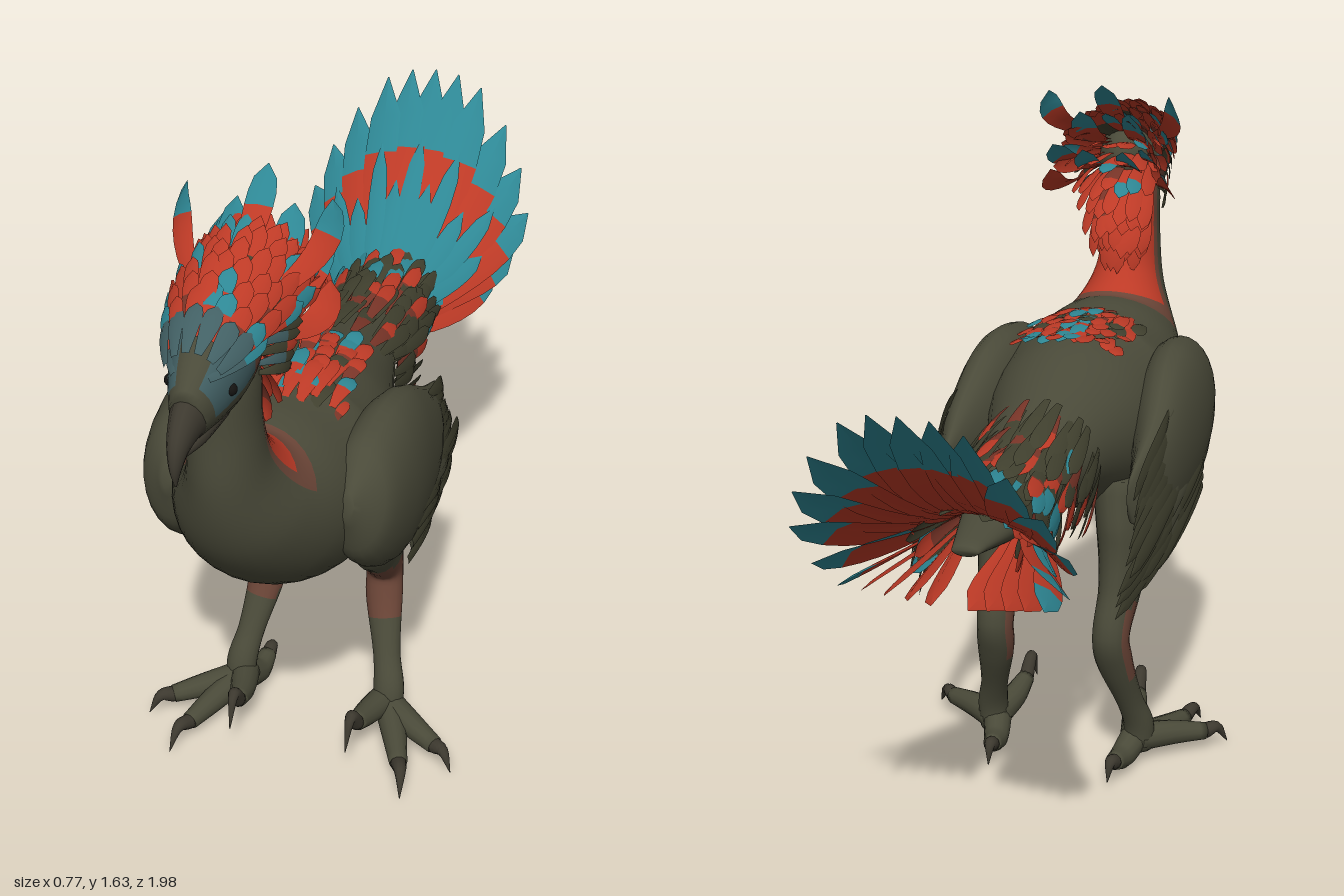
import * as THREE from 'three';

const V = (x, y, z) => new THREE.Vector3(x, y, z);
const paint = (name, color, side = THREE.FrontSide) => {
  const m = new THREE.MeshStandardMaterial({ color, side });
  m.name = name;
  return m;
};

export function createModel() {
  const model = new THREE.Group();
  model.name = 'crestedBird';
  const olive = paint('olive', 0x4a4a39), red = paint('red', 0xbd3a26, THREE.DoubleSide);
  const teal = paint('teal', 0x2e8794, THREE.DoubleSide), dark = paint('darkFeather', 0x41412f, THREE.DoubleSide);
  const slate = paint('faceSlate', 0x426064, THREE.DoubleSide), rust = paint('rustSkin', 0x6b4537);
  const horn = paint('horn', 0x3d392f), black = paint('eyeBlack', 0x141311);
  const maroon = paint('maroon', 0x7a3528, THREE.DoubleSide);

  let seed = 7;
  const rnd = () => (seed = (seed * 16807) % 2147483647) / 2147483647;
  const jit = a => (rnd() - 0.5) * 2 * a;

  const part = (name, parent = model) => {
    const g = new THREE.Group();
    g.name = name;
    parent.add(g);
    return g;
  };

  // Assembles indexed faces, grouped by material
  function build(name, pos, faces, mats, parent) {
    const index = [], geo = new THREE.BufferGeometry();
    mats.forEach((m, k) => {
      const own = faces.filter(f => f[0] === k);
      geo.addGroup(index.length, own.length * 3, k);
      own.forEach(f => index.push(f[1], f[2], f[3]));
    });
    geo.setAttribute('position', new THREE.Float32BufferAttribute(pos, 3));
    geo.setIndex(index);
    geo.computeVertexNormals();
    const mesh = new THREE.Mesh(geo, mats);
    mesh.name = name;
    parent.add(mesh);
  }

  // Smooth skin through stations [x, y, z, halfWidth, halfHeight]
  function loft(name, st, mats, parent = model, pick = () => 0, seg = 20, per = 5) {
    const path = new THREE.CatmullRomCurve3(st.map(s => V(s[0], s[1], s[2])));
    const size = new THREE.CatmullRomCurve3(st.map(s => V(s[3], s[4], 0)), false, 'catmullrom', 0.5);
    const rows = (st.length - 1) * per, pos = [], faces = [];
    for (let i = 0; i <= rows; i++) {
      const t = i / rows, c = path.getPoint(t), T = path.getTangent(t), r = size.getPoint(t);
      const S = V(1, 0, 0).addScaledVector(T, -T.x).normalize(), U = T.clone().cross(S);
      for (let j = 0; j < seg; j++) {
        const a = j / seg * Math.PI * 2;
        const p = c.clone().addScaledVector(S, Math.cos(a) * r.x).addScaledVector(U, Math.sin(a) * r.y);
        pos.push(p.x, p.y, p.z);
        if (i === rows) continue;
        const n = (j + 1) % seg, m = pick(t, Math.sin(a + Math.PI / seg), p), q = i * seg;
        faces.push([m, q + j, q + n, q + seg + n], [m, q + j, q + seg + n, q + seg + j]);
      }
    }
    for (let j = 1; j < seg - 1; j++) {
      const e = rows * seg;
      faces.push([0, 0, j + 1, j], [0, e, e + j, e + j + 1]);
    }
    build(name, pos, faces, mats, parent);
  }

  // Curved, slightly ridged feather plate; the tip colour starts at fraction "split"
  const profile = [0.4, 0.52, 0.64, 0.75, 0.85, 0.94, 1, 0.98, 0.8, 0.03];
  function feather(parent, a, ctrl, b, facing, width, base, tip = base, split = 0.7) {
    const curve = new THREE.QuadraticBezierCurve3(a, ctrl, b), n = profile.length - 1, pos = [], faces = [];
    for (let i = 0; i <= n; i++) {
      const t = i / n, c = curve.getPoint(t), T = curve.getTangent(t);
      const S = T.clone().cross(facing).normalize(), N = S.clone().cross(T), w = profile[i] * width / 2;
      for (const k of [-1, 0, 1]) {
        const p = c.clone().addScaledVector(S, k * w).addScaledVector(N, k ? 0 : w * 0.2);
        pos.push(p.x, p.y, p.z);
      }
      if (i < n) for (const k of [0, 1]) {
        const q = i * 3 + k, m = (i + 0.5) / n > split ? 1 : 0;
        faces.push([m, q, q + 1, q + 4], [m, q, q + 4, q + 3]);
      }
    }
    build('feather', pos, faces, [base, tip], parent);
  }

  // Body, tail root and neck in one skin; red stripe down the nape, rust where it fades
  loft('bodyAndNeck', [
    [0, 0.86, -0.62, 0.03, 0.012], [0, 0.855, -0.42, 0.075, 0.05], [0, 0.865, -0.25, 0.1, 0.085],
    [0, 0.875, -0.05, 0.145, 0.135], [0, 0.87, 0.15, 0.205, 0.205], [0, 0.86, 0.33, 0.235, 0.24],
    [0, 0.915, 0.5, 0.2, 0.2], [0, 0.99, 0.62, 0.145, 0.145], [0, 1.1, 0.685, 0.09, 0.108],
    [0, 1.22, 0.705, 0.074, 0.085], [0, 1.32, 0.705, 0.072, 0.085], [0, 1.4, 0.71, 0.06, 0.07]],
  [olive, red, rust], model,
  (t, s) => (t < 0.62 || t > 0.98 ? 0 : s > 0.3 && t > 0.66 ? 1 : s > 0.1 ? 2 : 0), 32, 6);

  // Head with slate cheeks, hooked beak and eyes
  const head = part('head');
  loft('skull', [
    [0, 1.4, 0.58, 0.02, 0.03], [0, 1.41, 0.62, 0.062, 0.08], [0, 1.405, 0.7, 0.08, 0.105],
    [0, 1.385, 0.78, 0.077, 0.108], [0, 1.365, 0.85, 0.06, 0.085], [0, 1.345, 0.91, 0.036, 0.058]],
  [olive, slate, rust], head,
  (t, s) => (t < 0.3 ? 0 : t < 0.5 && s < 0.1 && s > -0.85 ? 2 : t < 0.9 && s > -0.35 && s < 0.9 ? 1 : 0), 24);
  loft('upperBeak', [[0, 1.35, 0.86, 0.046, 0.062], [0, 1.338, 0.925, 0.032, 0.046], [0, 1.315, 0.963, 0.022, 0.03],
    [0, 1.278, 0.982, 0.012, 0.016], [0, 1.24, 0.984, 0.002, 0.003]], [horn], head, undefined, 14);
  loft('lowerBeak', [[0, 1.305, 0.8, 0.046, 0.028], [0, 1.294, 0.89, 0.03, 0.022], [0, 1.288, 0.955, 0.008, 0.008]],
    [horn], head, undefined, 12);
  for (const s of [-1, 1]) {
    const eye = new THREE.Mesh(new THREE.SphereGeometry(0.013, 14, 10), black);
    eye.name = 'eye';
    eye.position.set(s * 0.06, 1.375, 0.835);
    head.add(eye);
    feather(head, V(s * 0.035, 1.42, 0.885), V(s * 0.075, 1.425, 0.82), V(s * 0.09, 1.415, 0.7), V(s, 0.8, 0), 0.032, slate, teal, 0.5);
    // Dark and rust whisker feathers behind the cheek
    for (let i = 0; i < 6; i++) {
      const y = 1.46 - i * 0.025;
      feather(head, V(s * 0.07, y, 0.74 - i * 0.008), V(s * 0.11, y, 0.67), V(s * (0.135 - i * 0.006), y - 0.03, 0.6),
        V(s, 0.2, 0.4), 0.026, i % 2 ? dark : slate, i % 3 ? dark : red);
    }
  }

  // Crown: rows of overlapping feathers rising toward the back
  const crest = part('crest');
  for (let r = 0; r < 8; r++) {
    const k = r / 7, n = 6 + r, span = 0.9 + k * 0.6;
    for (let i = 0; i < n; i++) {
      const th = (i / (n - 1) * 2 - 1) * span + jit(0.06), out = V(Math.sin(th), Math.cos(th), 0);
      const R = 0.064 + 0.022 * Math.sin(k * Math.PI), L = 0.085 + k * 0.08 + jit(0.02);
      const a = V(out.x * R, 1.385 + k * 0.02 + out.y * R * 1.25, 0.875 - k * 0.25), q = rnd();
      const c = a.clone().addScaledVector(out, 0.03).add(V(0, 0, -L * 0.5));
      const b = a.clone().addScaledVector(out, 0.045 + k * 0.025).add(V(0, 0.01, -L));
      const root = r < 1 ? slate : q < 0.15 ? dark : q < 0.3 ? maroon : red;
      feather(crest, a, c, b, out, 0.038, root, r < 1 ? slate : q > 0.82 ? teal : red, 0.6);
    }
  }
  // Long crest plumes
  const plumes = [[0, 1.64, 0.41], [0.15, 1.61, 0.47], [0.06, 1.57, 0.43], [0.11, 1.5, 0.37], [0.14, 1.42, 0.45], [0.05, 1.48, 0.42]];
  for (const [x, y, z] of plumes) for (const s of x ? [-1, 1] : [1]) {
    feather(crest, V(s * x * 0.45, 1.43 + (y - 1.5) * 0.4, 0.66), V(s * x * 1.15, y - 0.1, 0.5), V(s * x, y, z),
      V(s * x * 5, 1, 0.2), 0.06, red, y < 1.45 ? red : teal, 0.62);
  }
  // Mane: feathers fanning from straight back to straight down behind the nape
  for (let r = 0; r < 7; r++) for (let i = -3; i <= 3; i++) {
    const k = r / 6, ang = 0.25 - k * 1.55 + jit(0.1), L = 0.18 + jit(0.02), x = i * (0.02 - k * 0.005);
    const a = V(x, 1.45 - k * 0.13, 0.64 + Math.abs(i) * 0.012);
    const b = a.clone().add(V(x * (1 - k * 0.9), Math.sin(ang) * L, -Math.cos(ang) * L - 0.02));
    const c = a.clone().lerp(b, 0.5).add(V(x * 0.3, 0.015, -0.025)), q = rnd();
    feather(crest, a, c, b, V(x * 14, Math.cos(ang), Math.sin(ang)), 0.04, q < 0.2 ? maroon : red, q > 0.93 && k < 0.5 ? teal : red, 0.65);
  }

  // Saddle feathers along the upper back
  const saddle = part('saddleFeathers');
  for (let r = 0; r < 11; r++) for (let i = -3; i <= 3; i++) {
    const x = i * 0.033 + (r % 2 ? 0.014 : -0.014) + jit(0.006), z = 0.53 - r * 0.034 + jit(0.012);
    const y = 1.1 - x * x * 2.6 - Math.max(0, z - 0.38) * 0.45 + Math.min(0, z - 0.25) * 0.14, q = rnd();
    feather(saddle, V(x, y, z), V(x * 1.05, y + 0.02, z - 0.06), V(x * 1.15, y + 0.014 + jit(0.012), z - 0.12 + jit(0.02)),
      V(x * 3, 1, 0), 0.038, q < 0.2 ? dark : q < 0.4 ? maroon : red, i === 0 || q > 0.85 ? teal : q < 0.12 ? dark : red, 0.6);
  }

  // Rump coverts round the tail root, gaining colour toward the tail
  const rump = part('rumpFeathers');
  for (let r = 0; r < 9; r++) for (let i = -6; i <= 6; i++) {
    const k = r / 8, th = i / 6 * 1.95 + jit(0.1), out = V(Math.sin(th), Math.cos(th), 0);
    const z = -0.06 - k * 0.36 + jit(0.02), rx = 0.14 - k * 0.065, ry = 0.135 - k * 0.085, L = 0.2 + jit(0.04);
    const a = V(out.x * rx, 0.873 - k * 0.015 + out.y * ry, z);
    const b = a.clone().addScaledVector(out, 0.015 + k * 0.035 + jit(0.012)).add(V(0, -0.05 + k * 0.04, -L));
    const c = a.clone().lerp(b, 0.5).addScaledVector(out, 0.012), q = rnd();
    feather(rump, a, c, b, out, 0.038, q < 0.25 + k * 0.2 ? maroon : dark, q < 0.14 + k * 0.22 ? red : q > 0.99 - k * 0.25 ? teal : dark, 0.5);
  }

  // Raised, roof-shaped tail fan: broad red quills with teal ends, listed from the middle outward
  const tail = part('tailFan');
  const quills = [[0, 1.28, -0.985], [0.062, 1.275, -0.98], [0.125, 1.25, -0.97], [0.2, 1.165, -0.945], [0.255, 1.07, -0.9],
    [0.29, 0.97, -0.845], [0.265, 0.875, -0.8]];
  quills.forEach(([x, y, z], i) => {
    for (const s of x ? [-1, 1] : [1]) {
      const a = i / 6, from = V(s * a * 0.07, 0.885 - a * 0.03, -0.38), end = V(s * x, y, z);
      const mid = V(s * x * 0.5, 0.87 - a * 0.03, -0.67 + a * 0.06), hint = V(s * a * 0.9, 1, 0.4);
      feather(tail, from, mid, end, hint, 0.108, red, teal, 0.76);
      // Narrow teal covert lying over the quill, following the first stretch of its curve
      const reach = 0.8 - (i % 2) * 0.14, up = hint.clone().setLength(0.014);
      const short = new THREE.QuadraticBezierCurve3(from, mid, end).getPoint(reach).add(up);
      feather(tail, from.clone().add(up), from.clone().lerp(mid, reach).add(up), short, hint, 0.05, i % 2 ? dark : teal, teal, 0.3);
    }
  });
  // Low red quills under the fan
  for (const s of [-1, 1]) for (let i = 0; i < 5; i++)
    feather(tail, V(s * 0.05, 0.85, -0.34), V(s * (0.07 + i * 0.025), 0.79, -0.52), V(s * (0.04 + i * 0.045), 0.775 + i * 0.012, -0.72 - i * 0.015),
      V(s * 0.8, 1, 0), 0.075, red, i === 4 ? teal : red, 0.8);

  for (const s of [-1, 1]) {
    const side = s > 0 ? 'left' : 'right';
    const M = st => st.map(([x, ...r]) => [s * x, ...r]);

    // Folded wing: smooth shoulder with layered flight feathers
    const wing = part(side + 'Wing');
    loft('wingShoulder', M([[0.225, 0.81, -0.12, 0.012, 0.06], [0.235, 0.81, 0.04, 0.055, 0.135], [0.225, 0.83, 0.2, 0.083, 0.195],
      [0.215, 0.87, 0.34, 0.092, 0.19], [0.205, 0.91, 0.46, 0.075, 0.13], [0.2, 0.93, 0.525, 0.014, 0.03]]), [olive], wing, undefined, 24);
    for (let l = 0; l < 3; l++) for (let i = 0; i < 9; i++) {
      const y = 0.68 + i * 0.034, z = 0.24 - i * 0.02 + l * 0.05, x = 0.285 + l * 0.008 - Math.abs(i - 3) * 0.005;
      const end = -0.3 + Math.abs(i - 1) * 0.022 + l * 0.12 + jit(0.025);
      feather(wing, V(s * x, y, z), V(s * (x + 0.012), y - 0.01, (z + end) / 2),
        V(s * (x - 0.035 + jit(0.012)), y - 0.09 - i * 0.006 + jit(0.008), end), V(s, 0.15, -0.1), 0.05,
        l === 1 ? olive : dark, dark, 0.6);
    }

    // Leg with rust-coloured heel
    const leg = part(side + 'Leg');
    loft('shank', M([[0.14, 0.76, 0.15, 0.075, 0.13], [0.152, 0.62, 0.12, 0.068, 0.125], [0.152, 0.5, 0.06, 0.05, 0.075],
      [0.146, 0.4, 0.006, 0.045, 0.046], [0.15, 0.33, 0.022, 0.046, 0.038], [0.174, 0.2, 0.08, 0.034, 0.03], [0.19, 0.12, 0.115, 0.038, 0.034],
      [0.19, 0.05, 0.125, 0.036, 0.034]]), [olive, rust], leg, (t, u, p) => (p.y > 0.3 && p.y < 0.48 && u > -0.5 ? 1 : 0), 18);

    // Toes: path points then a curved claw
    const toes = [
      ['outerToe', [[0.19, 0.075, 0.12], [0.26, 0.07, 0.175], [0.335, 0.06, 0.225]], [[0.36, 0.065, 0.245], [0.385, 0.02, 0.265]]],
      ['middleToe', [[0.19, 0.075, 0.12], [0.23, 0.06, 0.21], [0.265, 0.05, 0.3]], [[0.28, 0.06, 0.34], [0.29, 0.012, 0.38]]],
      ['sickleToe', [[0.18, 0.085, 0.12], [0.16, 0.1, 0.2], [0.15, 0.12, 0.265]], [[0.147, 0.165, 0.305], [0.145, 0.09, 0.345]]],
      ['hindToe', [[0.18, 0.075, 0.12], [0.165, 0.05, 0.06], [0.158, 0.06, 0.005]], [[0.155, 0.07, -0.02], [0.153, 0.025, -0.04]]]];
    const taper = (pts, radii) => M(pts.map((q, i) => [...q, radii[i], radii[i]]));
    for (const [name, p, claw] of toes) {
      loft(name, taper(p, [0.036, 0.031, 0.022]), [olive], leg, undefined, 12);
      loft(name + 'Claw', taper([p[2], ...claw], [0.02, 0.014, 0.001]), [horn], leg, undefined, 10);
    }
  }
  return model;
}
